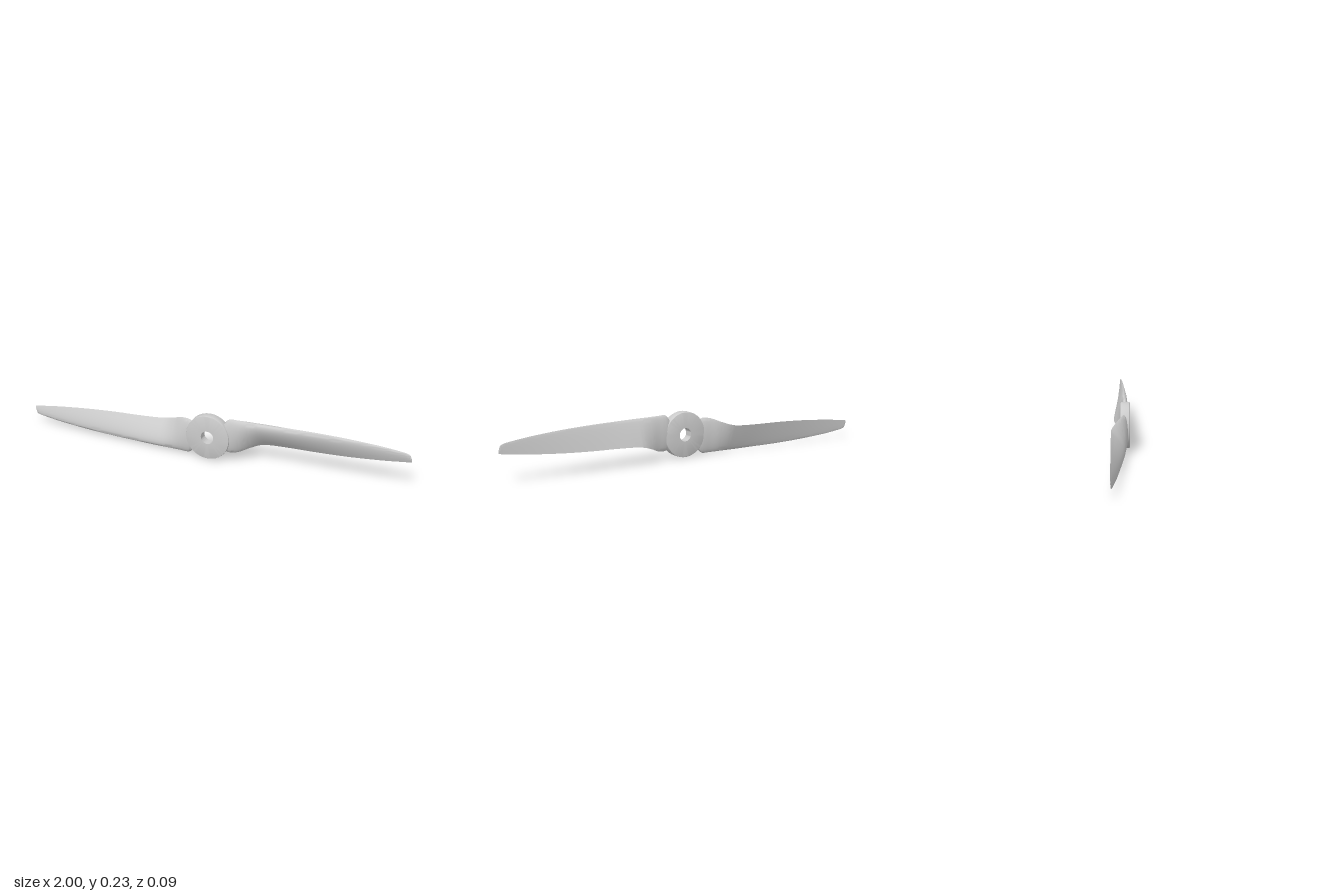
import * as THREE from 'three';
import { toCreasedNormals } from 'three/addons/utils/BufferGeometryUtils.js';

const CENTER_Y = 0.113;
const material = new THREE.MeshStandardMaterial({ color: 0xcccccc });

// Blade stations: x, leading edge y z, trailing edge y z, thickness, back share, tail exponent
const STATIONS = [
  [0.075, 0.185, 0.018, 0.06, 0.018, 0.018, 0.9, 0.5],
  [0.105, 0.218, 0.015, 0.042, 0.014, 0.022, 0.8, 0.55],
  [0.15, 0.220, 0.012, 0.046, 0.0, 0.025, 0.5, 0.7],
  [0.20, 0.220, 0.009, 0.066, -0.024, 0.028, 0.3, 0.85],
  [0.25, 0.220, 0.007, 0.083, -0.041, 0.029, 0.2, 0.95],
  [0.30, 0.220, 0.005, 0.091, -0.042, 0.028, 0.15, 1],
  [0.40, 0.219, 0.002, 0.096, -0.040, 0.024, 0.12, 1],
  [0.55, 0.217, -0.005, 0.100, -0.037, 0.019, 0.12, 1],
  [0.70, 0.211, -0.011, 0.108, -0.033, 0.014, 0.12, 1],
  [0.85, 0.200, -0.018, 0.121, -0.030, 0.009, 0.12, 1],
  [0.95, 0.188, -0.022, 0.133, -0.028, 0.006, 0.12, 1],
  [0.98, 0.182, -0.023, 0.137, -0.027, 0.005, 0.12, 1],
  [0.992, 0.173, -0.024, 0.139, -0.027, 0.004, 0.12, 1],
  [1.0, 0.151, -0.026, 0.141, -0.027, 0.003, 0.12, 1],
];

const curveOf = (pick) => new THREE.CatmullRomCurve3(
  STATIONS.map((s) => new THREE.Vector3(...pick.map((k) => s[k]))), false, 'catmullrom', 0.5);

// Lofted blade: aerofoil sections with a full front face and a nearly flat back
function bladeGeometry() {
  const lead = curveOf([0, 1, 2]), trail = curveOf([0, 3, 4]), shape = curveOf([5, 6, 7]);
  const rows = 78, half = 14, ring = half * 2;
  const positions = [], index = [];
  for (let i = 0; i <= rows; i++) {
    const a = lead.getPoint(i / rows), b = trail.getPoint(i / rows), s = shape.getPoint(i / rows);
    const peak = Math.sqrt(0.5 / (0.5 + s.z)) * (s.z / (0.5 + s.z)) ** s.z;
    for (let j = 0; j < ring; j++) {
      const front = j <= half;
      const k = (front ? j : ring - j) / half;
      const u = (1 - Math.cos(Math.PI * k)) / 2;
      const bulge = s.x * Math.sqrt(u) * Math.max(0, 1 - u) ** s.z / peak;
      const p = a.clone().lerp(b, u);
      positions.push(p.x, p.y - CENTER_Y, p.z + (front ? bulge : -bulge * s.y));
    }
  }
  for (let i = 0; i < rows; i++) {
    for (let j = 0; j < ring; j++) {
      const p = i * ring + j, q = i * ring + (j + 1) % ring;
      index.push(p, q, p + ring, q, q + ring, p + ring);
    }
  }
  // Root and tip caps
  const tip = rows * ring;
  for (let j = 1; j < ring - 1; j++) {
    index.push(0, j + 1, j, tip, tip + j, tip + j + 1);
  }
  const geometry = new THREE.BufferGeometry();
  geometry.setAttribute('position', new THREE.Float32BufferAttribute(positions, 3));
  geometry.setIndex(index);
  return toCreasedNormals(geometry, Math.PI / 3);
}

// Hub ring with softened rims and a shaft hole
function hubGeometry() {
  const R = 0.113, r = 0.033, back = -0.003, front = 0.043, c = 0.004;
  const profile = [
    [r, back], [R - c, back], [R - c * 0.3, back + c * 0.3], [R, back + c],
    [R, front - c], [R - c * 0.3, front - c * 0.3], [R - c, front], [r, front], [r, back],
  ].map(([x, y]) => new THREE.Vector2(x, y));
  return toCreasedNormals(new THREE.LatheGeometry(profile, 64).rotateX(Math.PI / 2), Math.PI / 5);
}

export function createModel() {
  const model = new THREE.Group();
  model.name = 'propeller';

  const hub = new THREE.Mesh(hubGeometry(), material);
  hub.name = 'hub';
  hub.position.y = CENTER_Y;
  model.add(hub);

  // Two identical blades, half a turn apart
  const blade = bladeGeometry();
  ['leftBlade', 'rightBlade'].forEach((name, i) => {
    const mesh = new THREE.Mesh(blade, material);
    mesh.name = name;
    mesh.position.y = CENTER_Y;
    mesh.rotation.z = i * Math.PI;
    model.add(mesh);
  });
  return model;
}
